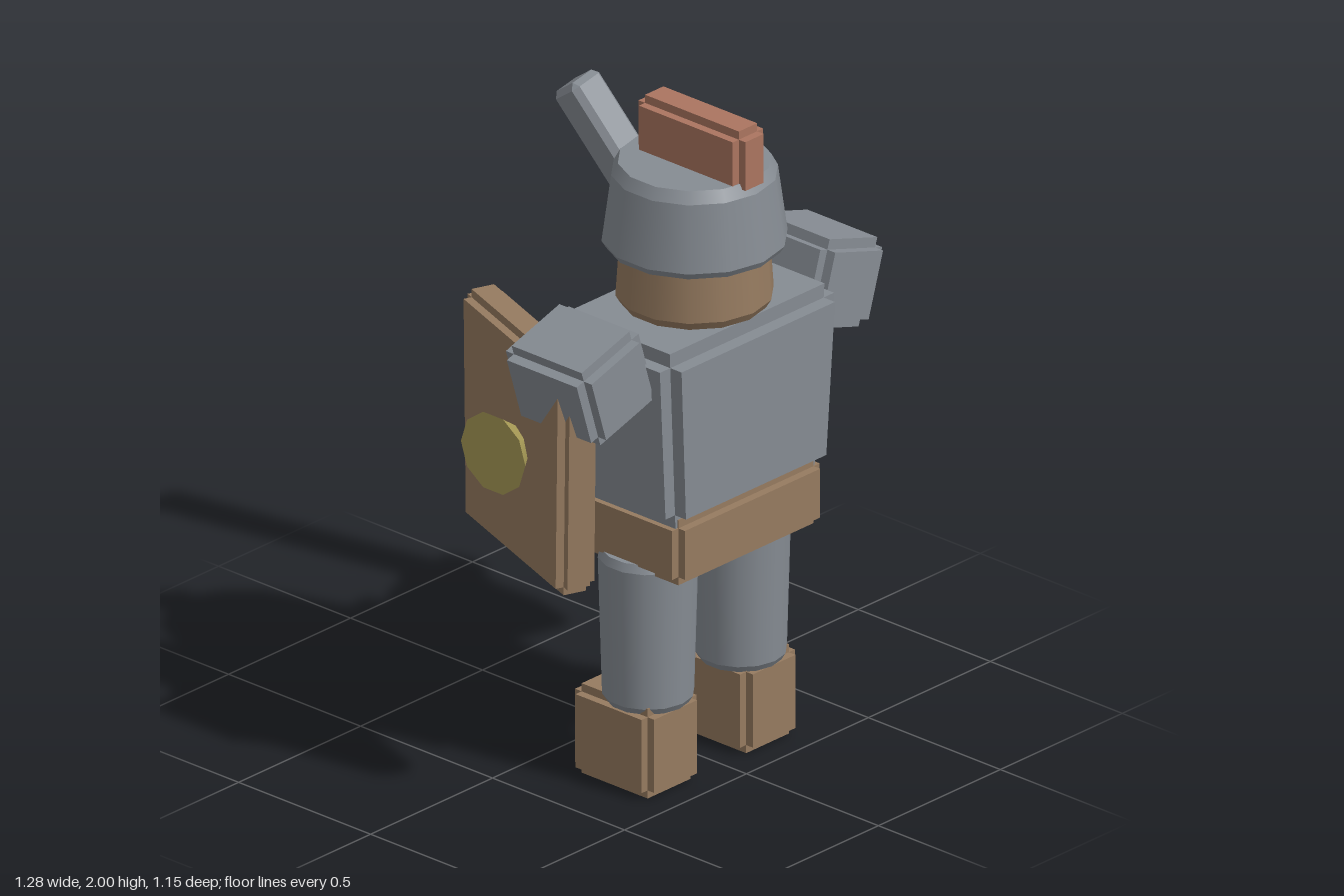
import * as THREE from 'three';
import { mergeGeometries } from 'three/addons/utils/BufferGeometryUtils.js';
import { ConvexGeometry } from 'three/addons/geometries/ConvexGeometry.js';

const steel = new THREE.MeshStandardMaterial({ name: 'steel', color: 0x868c93 });
const leather = new THREE.MeshStandardMaterial({ name: 'leather', color: 0x967b60 });
const red = new THREE.MeshStandardMaterial({ name: 'red', color: 0xab7560 });
const brass = new THREE.MeshStandardMaterial({ name: 'brass', color: 0xa99c57 });

// Box with notched edges: three overlapping boxes, each full length on one axis.
// taperX and taperZ scale the bottom.
function notchedBox(w, h, d, n, taperX = 1, taperZ = 1) {
  const geo = mergeGeometries([
    new THREE.BoxGeometry(w, h - 2 * n, d - 2 * n),
    new THREE.BoxGeometry(w - 2 * n, h, d - 2 * n),
    new THREE.BoxGeometry(w - 2 * n, h - 2 * n, d),
  ]);
  const p = geo.attributes.position;
  for (let i = 0; i < p.count; i++) {
    const t = 0.5 - p.getY(i) / h;
    p.setX(i, p.getX(i) * (1 + (taperX - 1) * t));
    p.setZ(i, p.getZ(i) * (1 + (taperZ - 1) * t));
  }
  geo.computeVertexNormals();
  return geo;
}

// Box with chamfered edges
function chamferedBox(w, h, d, c) {
  const pts = [];
  for (const x of [-1, 1]) for (const y of [-1, 1]) for (const z of [-1, 1]) {
    pts.push(
      new THREE.Vector3(x * w / 2, y * (h / 2 - c), z * (d / 2 - c)),
      new THREE.Vector3(x * (w / 2 - c), y * h / 2, z * (d / 2 - c)),
      new THREE.Vector3(x * (w / 2 - c), y * (h / 2 - c), z * d / 2));
  }
  return new ConvexGeometry(pts);
}

// Turned solid, smooth around and sharp between profile bands (bottom to top)
function turned(profile, sides) {
  const bands = [];
  for (let i = 0; i < profile.length - 1; i++) {
    bands.push(new THREE.LatheGeometry(
      [profile[i], profile[i + 1]].map(([r, y]) => new THREE.Vector2(r, y)), sides));
  }
  return mergeGeometries(bands);
}

export function createModel() {
  const model = new THREE.Group();
  model.name = 'knight';
  const cx = -0.016, cz = 0.318;

  const add = (name, geo, mat, x, y, z) => {
    const mesh = new THREE.Mesh(geo, mat);
    mesh.name = name;
    mesh.position.set(x, y, z);
    model.add(mesh);
    return mesh;
  };
  // Chamfered bar between two points
  const bar = (name, mat, a, b, w, d, c) => {
    const dir = b.clone().sub(a);
    const mid = a.clone().add(b).multiplyScalar(0.5);
    const mesh = add(name, chamferedBox(w, dir.length(), d, c), mat, mid.x, mid.y, mid.z);
    mesh.quaternion.setFromUnitVectors(new THREE.Vector3(0, 1, 0), dir.normalize());
  };

  // Boots, legs and shoulder plates
  const boot = notchedBox(0.225, 0.275, 0.3, 0.025);
  const leg = turned([[0, 0.25], [0.118, 0.25], [0.13, 0.27], [0.142, 0.69], [0.132, 0.715], [0, 0.715]], 14);
  const shoulder = notchedBox(0.265, 0.26, 0.325, 0.03);
  for (const s of [-1, 1]) {
    const side = s > 0 ? 'left' : 'right';
    add(side + 'Boot', boot, leather, cx + s * 0.202, 0.1375, 0.283);
    add(side + 'Leg', leg, steel, cx + s * 0.19, 0, cz);
    add(side + 'ShoulderPlate', shoulder, steel, cx + s * 0.47, 1.337, cz).rotation.z = -s * 0.3;
  }

  // Body
  add('belt', notchedBox(0.605, 0.2, 0.44, 0.025), leather, cx, 0.785, cz);
  add('buckle', notchedBox(0.195, 0.18, 0.1, 0.015), brass, cx, 0.785, 0.092);
  add('breastplate', notchedBox(0.72, 0.55, 0.485, 0.043, 0.9, 0.96), steel, cx, 1.135, cz);

  // Head, helmet and crest
  add('head', turned([[0, 1.41], [0.208, 1.41], [0.223, 1.435], [0.212, 1.6], [0, 1.6]], 14), leather, cx, 0, cz);
  add('helmet', turned([[0, 1.585], [0.25, 1.585], [0.262, 1.605], [0.235, 1.805], [0.216, 1.84], [0, 1.84]], 14),
    steel, cx, 0, cz);
  add('crest', notchedBox(0.125, 0.2, 0.405, 0.025), red, cx, 1.9, 0.343);

  // Sword arm, guard and blade
  const v = (x, y, z) => new THREE.Vector3(x, y, z);
  bar('swordArm', leather, v(0.43, 1.24, 0.27), v(0.53, 1.065, -0.055), 0.125, 0.12, 0.008);
  add('swordGuard', notchedBox(0.245, 0.095, 0.1, 0.017), leather, 0.515, 1.085, -0.11);
  bar('swordBlade', steel, v(0.515, 1.1, -0.12), v(0.413, 1.66, -0.535), 0.118, 0.115, 0.018);

  // Shield with a flared boss
  add('shield', notchedBox(0.12, 0.7, 0.64, 0.025, 1, 0.95), leather, -0.46, 1.057, 0.105).rotation.y = -0.363;
  const boss = new THREE.CylinderGeometry(0.122, 0.05, 0.1, 10);
  add('shieldBoss', boss, brass, -0.545, 1.06, 0.09).rotation.z = Math.PI / 2;

  return model;
}
